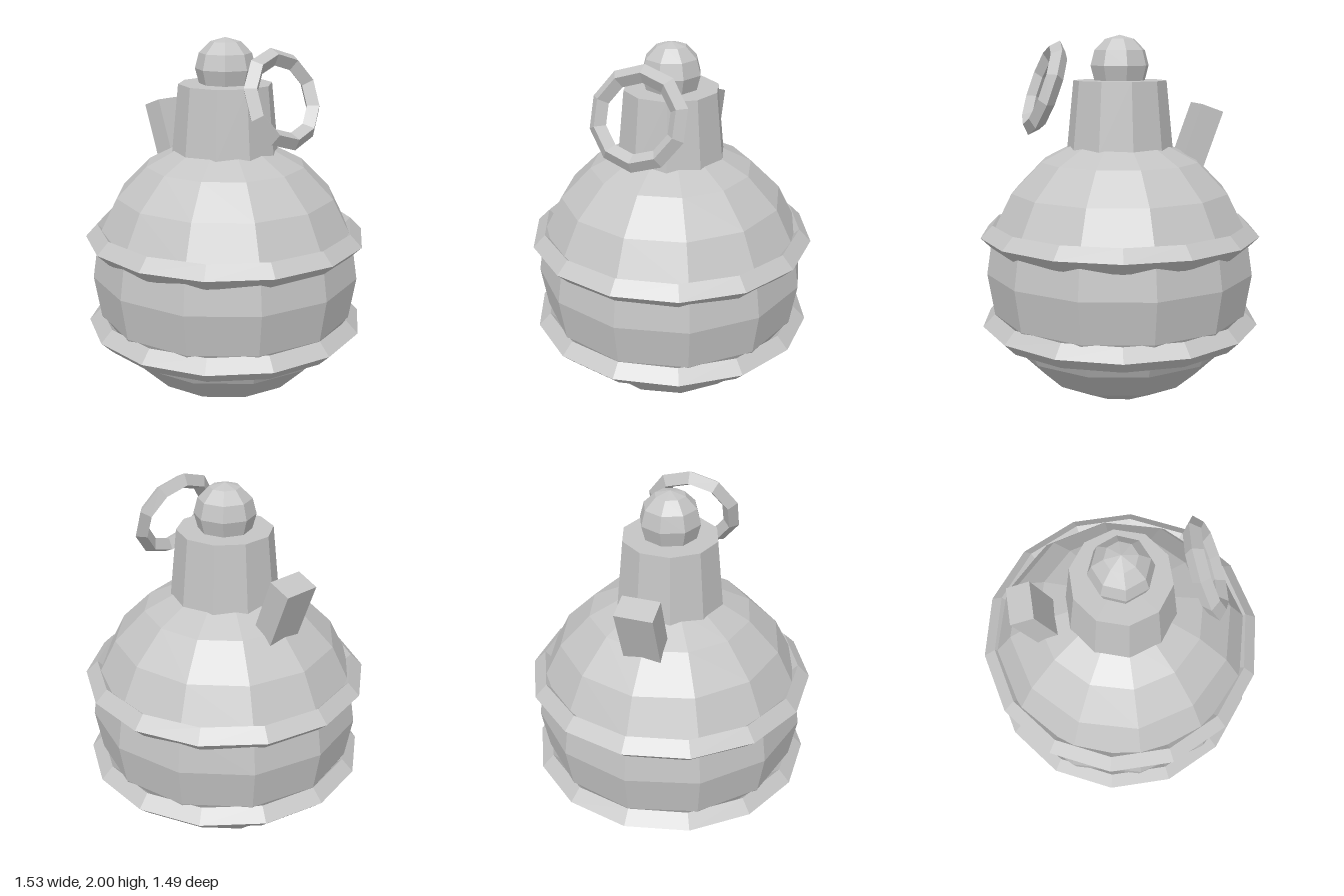
import * as THREE from 'three';

export function createModel() {
  const model = new THREE.Group();
  const grey = new THREE.MeshStandardMaterial({ color: 0xc4c4c4, flatShading: true });
  grey.name = 'grey';
  const tilt = THREE.MathUtils.degToRad(20);

  const add = (name, geometry, x, y, z = 0) => {
    const mesh = new THREE.Mesh(geometry, grey);
    mesh.name = name;
    mesh.position.set(x, y, z);
    model.add(mesh);
    return mesh;
  };

  // Round body
  add('body', new THREE.SphereGeometry(0.735, 12, 10), 0, 0.738);

  // Two diamond-section bands around the body
  [['upperBand', 0.937], ['lowerBand', 0.445]].forEach(([name, y]) => {
    add(name, new THREE.TorusGeometry(0.7, 0.065, 4, 14).rotateX(Math.PI / 2), 0, y);
  });

  // Tapered neck and its round knob
  add('neck', new THREE.CylinderGeometry(0.25, 0.288, 0.37, 10), 0, 1.577);
  add('knob', new THREE.SphereGeometry(0.16, 8, 6), 0, 1.84);

  // Pull ring, standing with a corner upward and leaning towards the neck
  const ring = new THREE.TorusGeometry(0.215, 0.045, 4, 10).rotateZ(Math.PI / 2).rotateY(Math.PI / 2);
  add('pullRing', ring, 0.41, 1.725).rotation.z = tilt;

  // Lever block leaning outward on the other side
  add('lever', new THREE.BoxGeometry(0.127, 0.35, 0.195), -0.436, 1.448).rotation.z = tilt;

  return model;
}
